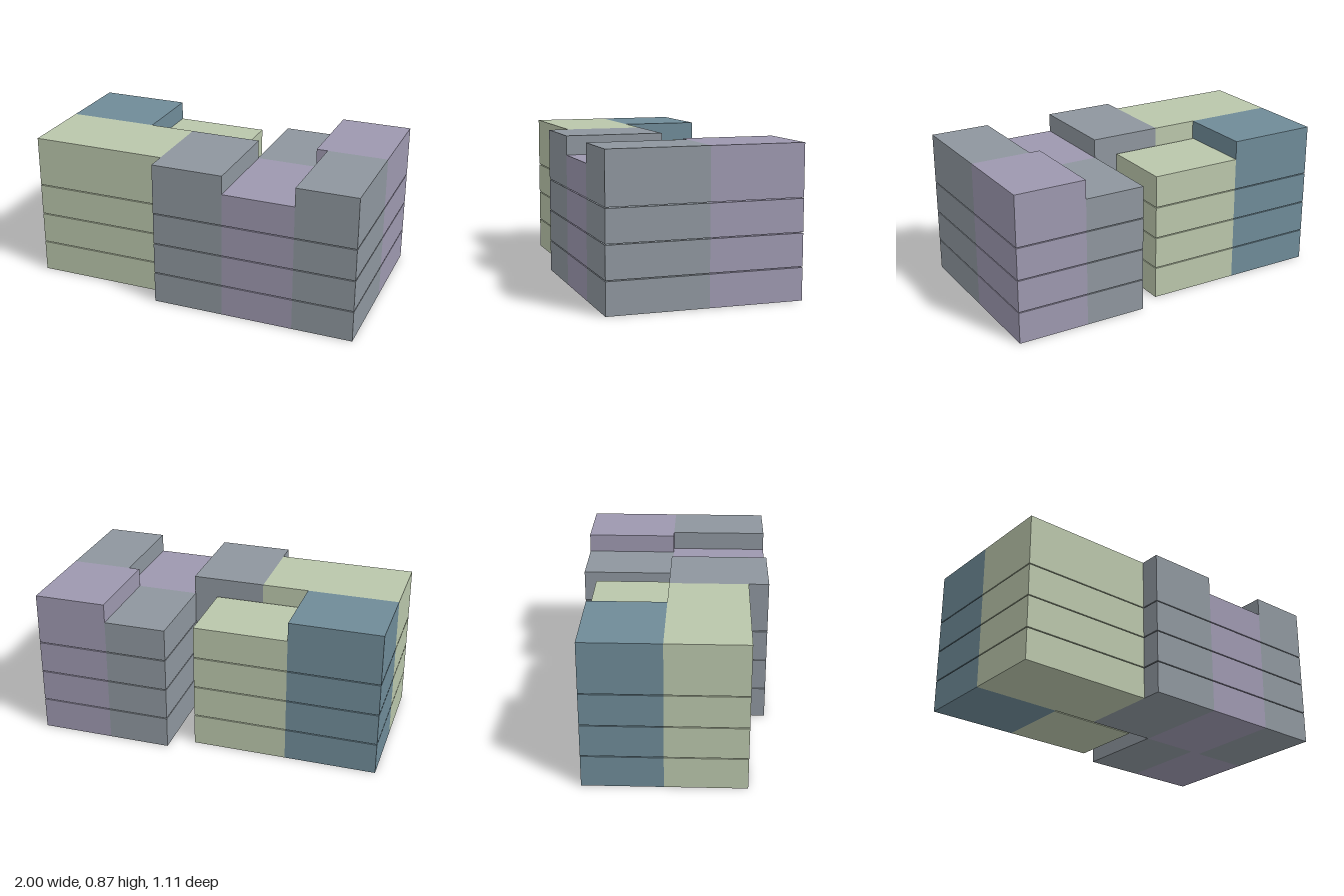
import * as THREE from 'three';

const COLORS = { green: 0xbac6ab, blue: 0x6f8b98, grey: 0x8e969e, purple: 0x9d98af };

// Each unit's footprint: name, colour, x range, z range, top height
const TALL = 0.865, LOW = 0.755;
const UNITS = [
  ['frontGreenUnit', 'green', -1, -0.2, -0.018, 0.44, TALL],
  ['backBlueUnit', 'blue', -1, -0.47, -0.47, -0.018, TALL],
  ['backGreenUnit', 'green', -0.47, 0.08, -0.47, -0.028, LOW],
  ['frontInnerGreyUnit', 'grey', -0.2, 0.223, -0.018, 0.557, TALL],
  ['frontPurpleUnit', 'purple', 0.223, 0.645, -0.018, 0.557, LOW],
  ['frontOuterGreyUnit', 'grey', 0.645, 1, -0.018, 0.557, TALL],
  ['backGreyUnit', 'grey', 0.22, 0.58, -0.557, -0.018, LOW],
  ['backPurpleUnit', 'purple', 0.58, 1, -0.557, -0.018, TALL],
];

// Storeys are separate blocks with a thin open gap between them
const FLOORS = 4, PITCH = 0.1895, STOREY = 0.184;

export function createModel() {
  const building = new THREE.Group();
  building.name = 'apartmentBuilding';
  const materials = {};
  for (const key in COLORS) materials[key] = new THREE.MeshStandardMaterial({ color: COLORS[key] });

  for (const [name, color, x0, x1, z0, z1, top] of UNITS) {
    const unit = new THREE.Group();
    unit.name = name;
    for (let i = 0; i < FLOORS; i++) {
      const y0 = i * PITCH;
      // The top storey reaches up to the unit's own roof height
      const y1 = i === FLOORS - 1 ? top : y0 + STOREY;
      const storey = new THREE.Mesh(new THREE.BoxGeometry(x1 - x0, y1 - y0, z1 - z0), materials[color]);
      storey.name = `storey${i + 1}`;
      storey.position.set((x0 + x1) / 2, (y0 + y1) / 2, (z0 + z1) / 2);
      unit.add(storey);
    }
    building.add(unit);
  }
  return building;
}
